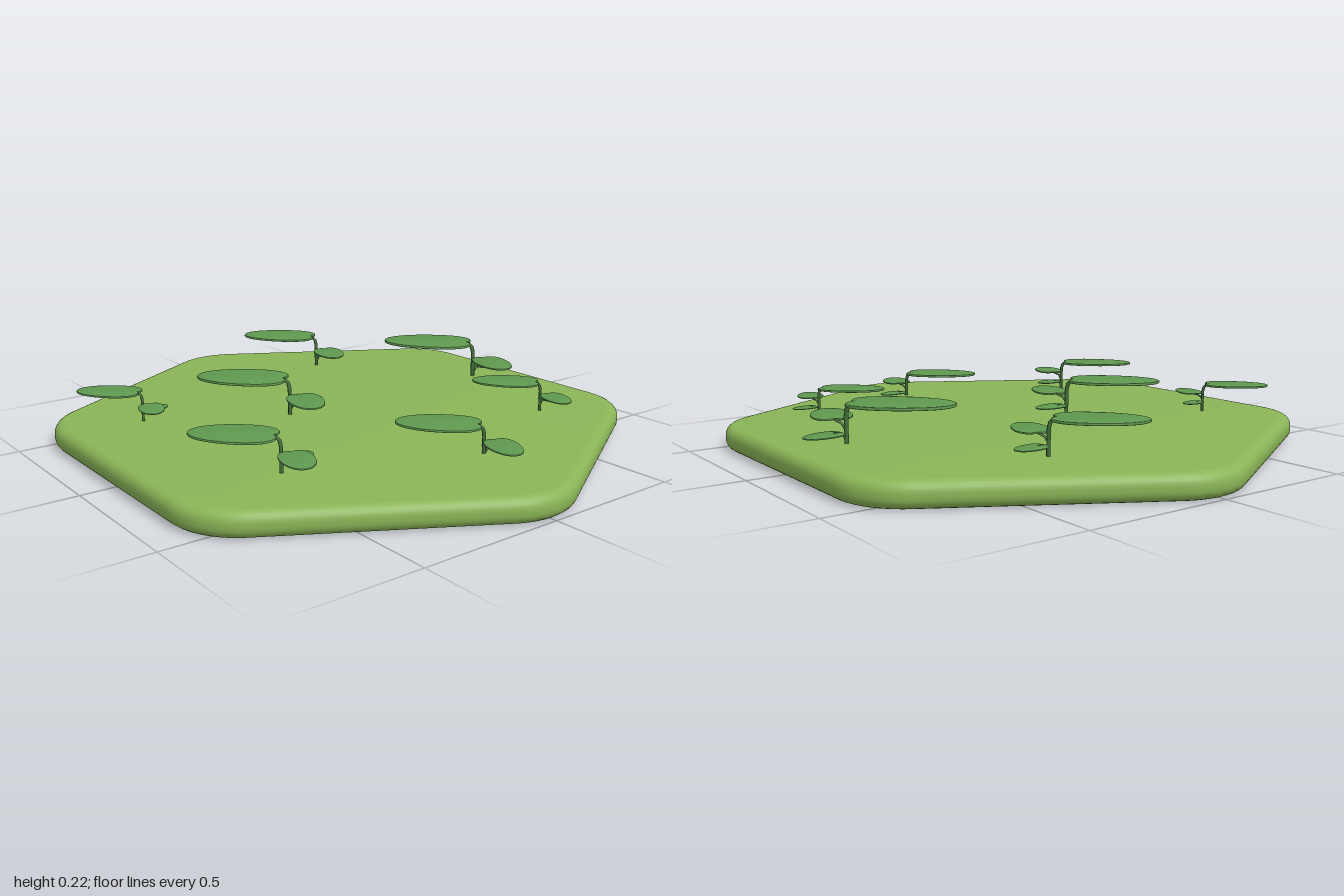
import * as THREE from 'three';
import { toCreasedNormals } from 'three/addons/utils/BufferGeometryUtils.js';

const material = (name, color) => {
  const m = new THREE.MeshStandardMaterial({ color });
  m.name = name;
  return m;
};

const mesh = (name, geometry, mat) => {
  const m = new THREE.Mesh(geometry, mat);
  m.name = name;
  return m;
};

// Extrudes an outline drawn in x,z into a slab with rounded rims, standing on y = 0
function slab(shape, height, bevel, segments, curveSegments) {
  const g = new THREE.ExtrudeGeometry(shape, {
    depth: height - 2 * bevel, bevelThickness: bevel, bevelSize: bevel,
    bevelOffset: -bevel, bevelSegments: segments, curveSegments,
  });
  g.rotateX(Math.PI / 2);
  g.translate(0, height - bevel, 0);
  return toCreasedNormals(g, 0.7);
}

// Hexagon with rounded corners, points on the x axis
function hexShape(apothem, radius) {
  const s = new THREE.Shape();
  const d = (apothem - radius) / Math.cos(Math.PI / 6);
  for (let k = 0; k < 6; k++) {
    const a = k * Math.PI / 3;
    s.absarc(d * Math.cos(a), d * Math.sin(a), radius, a - Math.PI / 6, a + Math.PI / 6, false);
  }
  return s;
}

// Leaf outline along +x with a small notch at the base
function leafShape(l, w) {
  const s = new THREE.Shape();
  s.moveTo(0.05 * l, 0);
  s.bezierCurveTo(-0.05 * l, -0.12 * w, -0.02 * l, -0.5 * w, 0.4 * l, -0.5 * w);
  s.bezierCurveTo(0.72 * l, -0.5 * w, l, -0.3 * w, l, 0);
  s.bezierCurveTo(l, 0.3 * w, 0.72 * l, 0.5 * w, 0.4 * l, 0.5 * w);
  s.bezierCurveTo(-0.02 * l, 0.5 * w, -0.05 * l, 0.12 * w, 0.05 * l, 0);
  return s;
}

// base and tip are [x, z]; y is the height of the underside
function makeLeaf(name, base, tip, y, width, thickness, mat) {
  const dx = tip[0] - base[0], dz = tip[1] - base[1];
  const g = slab(leafShape(Math.hypot(dx, dz), width), thickness, thickness * 0.4, 2, 10);
  const leaf = mesh(name, g, mat);
  leaf.position.set(base[0], y, base[1]);
  leaf.rotation.y = -Math.atan2(dz, dx);
  return leaf;
}

function makeStem(name, points, radius, mat) {
  const curve = new THREE.CatmullRomCurve3(points.map((p) => new THREE.Vector3(...p)));
  return mesh(name, new THREE.TubeGeometry(curve, 14, radius, 8, false), mat);
}

// One seedling; its origin is the top of the stem
function makePlant(leafMat, stemMat) {
  const plant = new THREE.Group();
  plant.add(
    makeStem('mainStem', [[0.005, -0.16, 0], [0.004, -0.08, 0], [0, -0.025, 0],
      [-0.008, -0.006, 0.006], [-0.04, -0.003, 0.04]], 0.007, stemMat),
    makeStem('middleStem', [[0.003, -0.085, 0], [0.012, -0.062, -0.012],
      [0.025, -0.055, -0.022], [0.055, -0.054, -0.012]], 0.004, stemMat),
    makeStem('smallStem', [[0.004, -0.115, 0], [0.008, -0.095, -0.01],
      [0.008, -0.09, -0.022], [0.004, -0.09, -0.045]], 0.004, stemMat),
    makeLeaf('largeLeaf', [-0.006, 0.004], [-0.232, 0.23], -0.005, 0.2, 0.01, leafMat),
    makeLeaf('middleLeaf', [0.026, -0.027], [0.202, 0.038], -0.056, 0.125, 0.006, leafMat),
    makeLeaf('smallLeaf', [0.008, -0.014], [-0.014, -0.142], -0.092, 0.088, 0.004, leafMat),
  );
  return plant;
}

export function createModel() {
  const grass = material('grass green', 0x8ab557);
  const leaf = material('leaf green', 0x5f9950);
  const stem = material('stem green', 0x426f3a);

  const model = new THREE.Group();
  model.name = 'hexTileWithSeedlings';
  model.add(mesh('hexTile', slab(hexShape(0.9, 0.25), 0.085, 0.036, 6, 12), grass));

  // Seedlings: x, z, height of the top leaf, scale
  const spots = [
    [-0.06, -0.69, 0.216, 1.07],
    [0.425, -0.55, 0.186, 0.73],
    [-0.575, -0.295, 0.202, 0.91],
    [0.63, -0.07, 0.176, 0.85],
    [-0.075, 0.18, 0.211, 1.0],
    [0.39, 0.53, 0.198, 0.86],
    [-0.315, 0.625, 0.184, 0.7],
  ];
  const seedling = makePlant(leaf, stem);
  spots.forEach(([x, z, y, s], i) => {
    const plant = seedling.clone();
    plant.name = `seedling${i + 1}`;
    plant.position.set(x, y, z);
    plant.scale.setScalar(s);
    model.add(plant);
  });
  return model;
}
